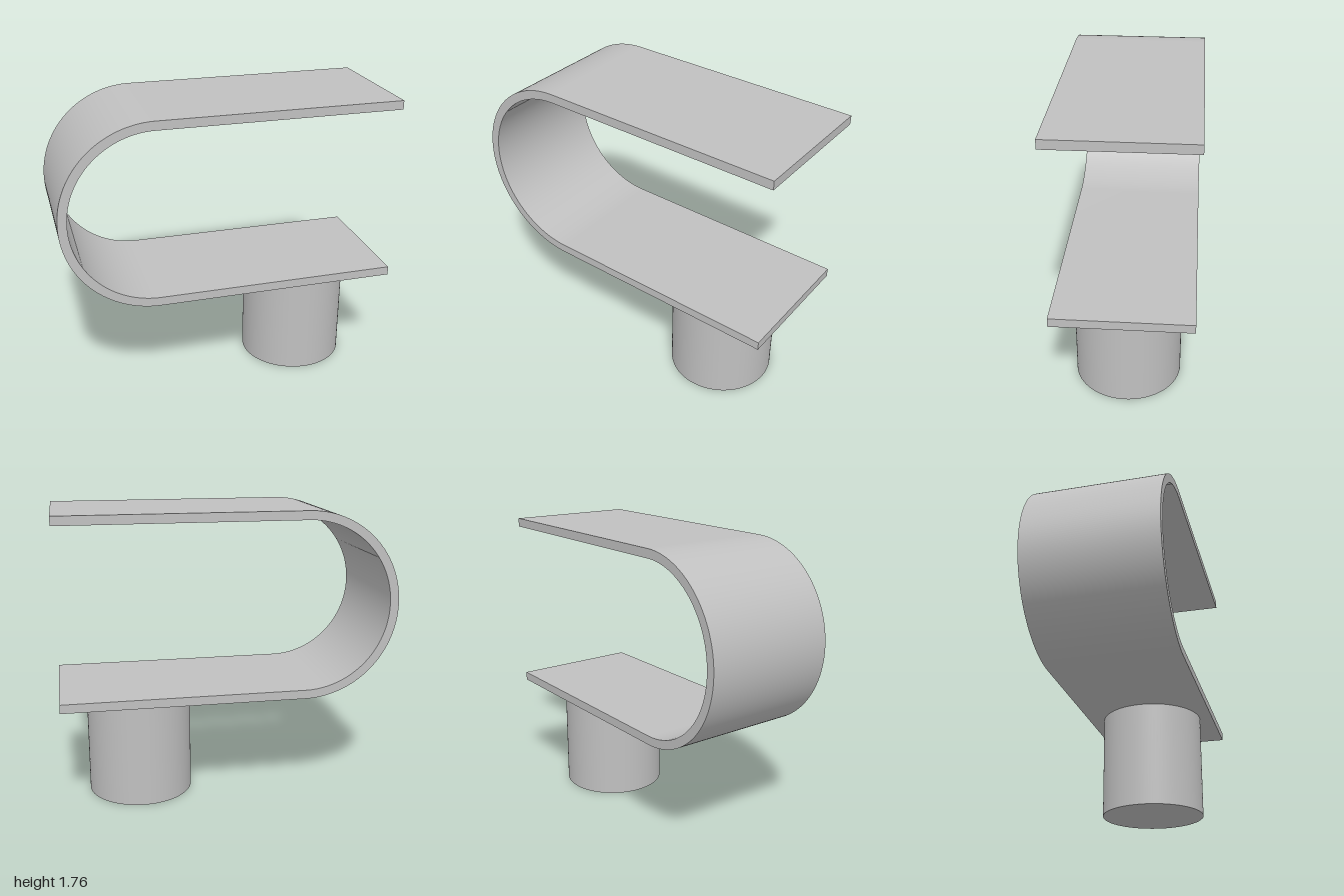
import * as THREE from 'three';
import { toCreasedNormals } from 'three/addons/utils/BufferGeometryUtils.js';

export function createModel() {
  const group = new THREE.Group();
  const grey = new THREE.MeshStandardMaterial({ color: 0xc0c0c0 });
  grey.name = 'plainGrey';

  // Strip bent into a U lying on its side, open towards +x
  const cx = -0.442, cy = 1.203, outer = 0.558, inner = 0.505, width = 0.8;
  const profile = new THREE.Shape();
  profile.moveTo(1, cy + outer);
  profile.lineTo(cx, cy + outer);
  profile.absarc(cx, cy, outer, Math.PI / 2, Math.PI * 1.5, false);
  profile.lineTo(1, cy - outer);
  profile.lineTo(1, cy - inner);
  profile.lineTo(cx, cy - inner);
  profile.absarc(cx, cy, inner, Math.PI * 1.5, Math.PI / 2, true);
  profile.lineTo(1, cy + inner);
  profile.closePath();
  const bent = new THREE.ExtrudeGeometry(profile, { depth: width, bevelEnabled: false, curveSegments: 64 });
  bent.translate(0, 0, -width / 2);
  const strip = new THREE.Mesh(toCreasedNormals(bent, Math.PI / 6), grey);
  strip.name = 'bentStrip';
  group.add(strip);

  // Round post under the free end of the lower arm
  const height = cy - outer;
  const post = new THREE.Mesh(new THREE.CylinderGeometry(0.319, 0.319, height, 96), grey);
  post.name = 'post';
  post.position.set(0.518, height / 2, 0);
  group.add(post);

  return group;
}
